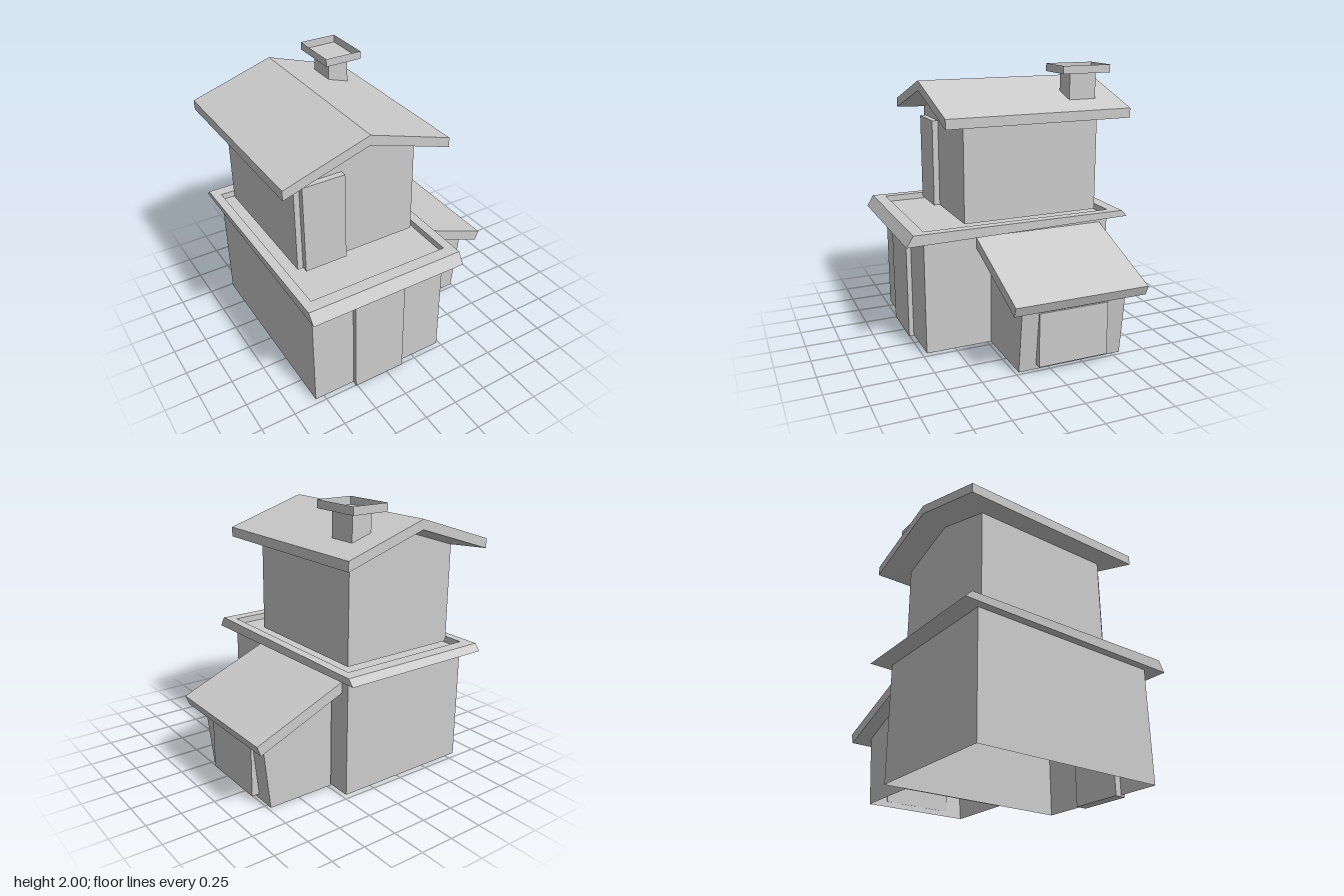
import * as THREE from 'three';

const material = new THREE.MeshStandardMaterial({ color: 0xcccccc, flatShading: true });
const openMaterial = new THREE.MeshStandardMaterial({ color: 0xcccccc, flatShading: true, side: THREE.DoubleSide });

// Rectangular ring, counterclockwise from above, with separate front and back heights
const rect = (x0, x1, z0, z1, yFront, yBack = yFront) => [
  [x0, yFront, z1], [x1, yFront, z1], [x1, yBack, z0], [x0, yBack, z0]];

// Four-point ring pitched from (x0, y0) to (x1, y1), its outer end shifted by skew in z
const pitched = (x0, y0, x1, y1, z0, z1, skew = 0) => [
  [x0, y0, z1], [x1, y1, z1 + skew], [x1, y1, z0 + skew], [x0, y0, z0]];

// Gable-shaped ring with a ridge point in the middle of its front and back
const gable = (x0, x1, z0, z1, yEave, yRidge) => {
  const xm = (x0 + x1) / 2;
  return [[x0, yEave, z1], [xm, yRidge, z1], [x1, yEave, z1],
    [x1, yEave, z0], [xm, yRidge, z0], [x0, yEave, z0]];
};

// Joins rings of equal length from bottom to top, with optional end caps
function loft(rings, capBottom, capTop) {
  const pos = [];
  const quad = (a, b, c, d) => pos.push(...a, ...b, ...c, ...a, ...c, ...d);
  const n = rings[0].length;
  for (let r = 0; r + 1 < rings.length; r++) {
    for (let i = 0; i < n; i++) {
      const j = (i + 1) % n;
      quad(rings[r][i], rings[r][j], rings[r + 1][j], rings[r + 1][i]);
    }
  }
  const cap = (ring, up) => {
    for (let i = 0; i < n / 2 - 1; i++) {
      const q = [ring[i], ring[i + 1], ring[n - 2 - i], ring[n - 1 - i]];
      quad(...(up ? q : q.reverse()));
    }
  };
  if (capBottom) cap(rings[0], false);
  if (capTop) cap(rings[rings.length - 1], true);
  const geometry = new THREE.BufferGeometry();
  geometry.setAttribute('position', new THREE.Float32BufferAttribute(pos, 3));
  geometry.computeVertexNormals();
  return geometry;
}

// Box given by its limits on each axis
const box = (x0, x1, y0, y1, z0, z1) => new THREE.BoxGeometry(x1 - x0, y1 - y0, z1 - z0)
  .translate((x0 + x1) / 2, (y0 + y1) / 2, (z0 + z1) / 2);

export function createModel() {
  const house = new THREE.Group();
  house.name = 'house';
  const add = (name, geometry, mat = material) => {
    const mesh = new THREE.Mesh(geometry, mat);
    mesh.name = name;
    house.add(mesh);
  };

  // Ground floor, hollow and open underneath
  const wallTop = rect(-0.82, 0.225, -0.72, 0.72, 0.845, 0.872);
  add('lowerWalls', loft([rect(-0.82, 0.225, -0.72, 0.72, 0.01), wallTop], false, false), openMaterial);
  add('lowerDoor', box(-0.51, -0.115, 0, 0.785, 0.67, 0.755));

  // Terrace: flared rim around a sunken floor, which is also the ceiling below
  add('terrace', loft([
    wallTop,
    rect(-0.88, 0.293, -0.855, 0.86, 0.84, 0.873),
    rect(-0.885, 0.293, -0.81, 0.81, 0.92),
    rect(-0.82, 0.225, -0.72, 0.72, 0.92),
    rect(-0.82, 0.225, -0.72, 0.72, 0.873),
  ], false, true), openMaterial);

  // Upper floor, starting level with the terrace rim
  const upperTop = gable(-0.745, 0.167, -0.642, 0.4, 1.64, 1.785);
  add('upperWalls', loft([gable(-0.745, 0.167, -0.642, 0.4, 0.92, 0.92), upperTop], true, false));
  add('upperDoor', box(-0.705, -0.395, 0.92, 1.575, 0.36, 0.445));

  // Gabled roof, its soffit sloping out from the wall tops to the eaves
  add('mainRoof', loft([
    upperTop,
    gable(-0.9, 0.322, -0.828, 0.577, 1.625, 1.82),
    gable(-0.9, 0.322, -0.828, 0.577, 1.695, 1.89),
  ], false, true));

  // Chimney with an open tray on top
  add('chimney', box(-0.013, 0.143, 1.7, 1.943, -0.635, -0.425));
  add('chimneyCap', loft([
    rect(-0.075, 0.204, -0.718, -0.342, 1.943),
    rect(-0.075, 0.204, -0.718, -0.342, 2),
  ], true, false), openMaterial);

  // Side annex, hollow, with outward leaning wall, sloping roof and window
  add('annexWalls', loft([
    rect(0.235, 0.737, -0.555, 0.23, 0.01),
    pitched(0.235, 0.746, 0.794, 0.516, -0.555, 0.23),
  ], false, false), openMaterial);
  add('annexRoof', loft([
    pitched(0.225, 0.75, 0.873, 0.485, -0.656, 0.334, -0.01),
    pitched(0.225, 0.83, 0.901, 0.556, -0.656, 0.334, -0.01),
  ], true, true));
  add('annexWindow', box(0.74, 0.797, 0.05, 0.44, -0.415, 0.105));

  return house;
}
